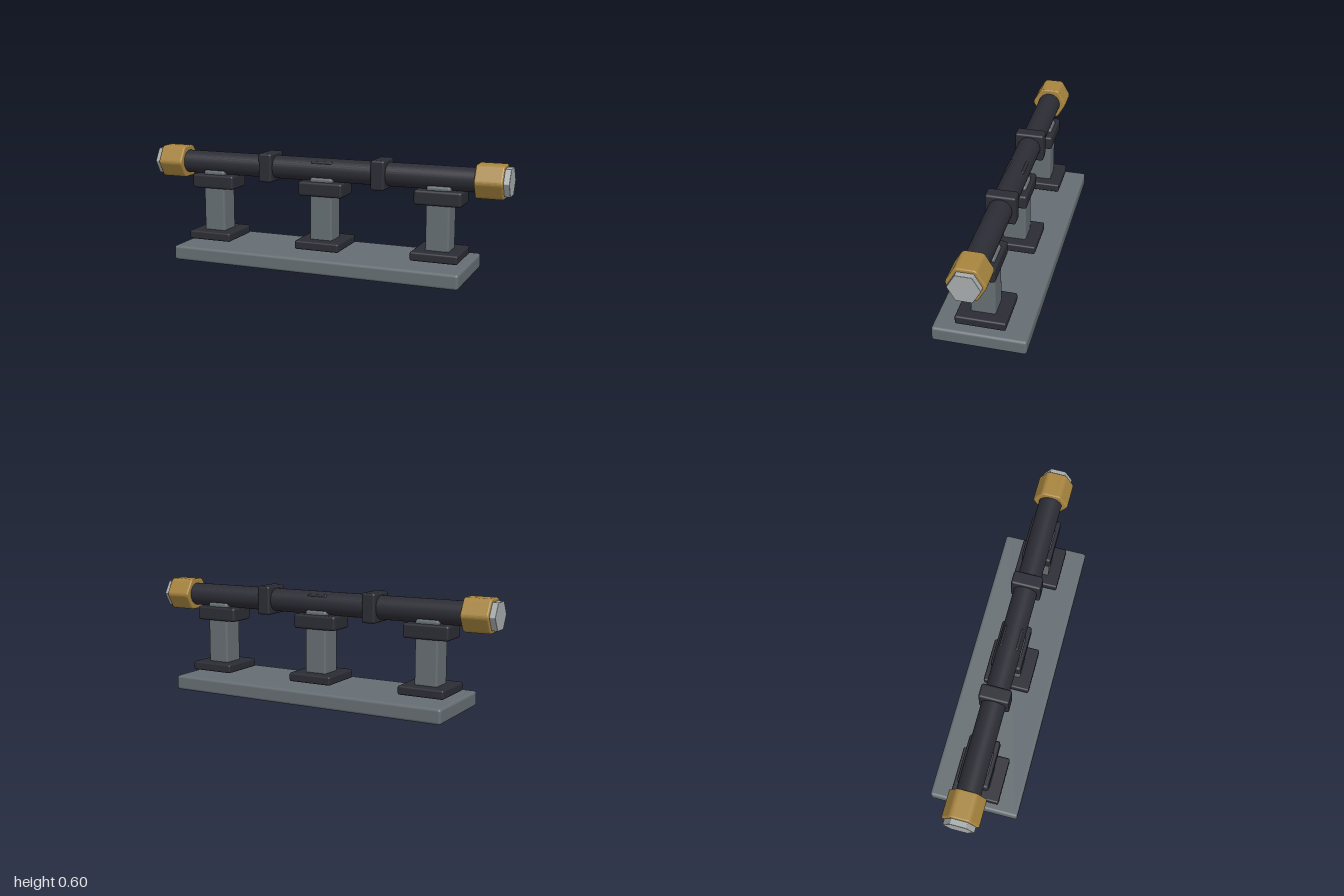
import * as THREE from 'three';
import { RoundedBoxGeometry } from 'three/addons/geometries/RoundedBoxGeometry.js';

const mat = (name, color) => {
  const m = new THREE.MeshStandardMaterial({ color });
  m.name = name;
  return m;
};

// Hexagon with softened corners, flats facing up and down
function hexShape(radius, round) {
  const s = new THREE.Shape();
  const pts = Array.from({ length: 6 }, (_, i) =>
    new THREE.Vector2(Math.cos(i * Math.PI / 3), Math.sin(i * Math.PI / 3)).multiplyScalar(radius));
  const t = round / radius;
  pts.forEach((p, i) => {
    const a = p.clone().lerp(pts[(i + 5) % 6], t);
    const b = p.clone().lerp(pts[(i + 1) % 6], t);
    if (i === 0) s.moveTo(a.x, a.y); else s.lineTo(a.x, a.y);
    s.quadraticCurveTo(p.x, p.y, b.x, b.y);
  });
  s.closePath();
  return s;
}

// Bevelled hexagonal prism lying along x, from x = x0 to x = x1
function hexPrism(radius, round, x0, x1, bevel) {
  const g = new THREE.ExtrudeGeometry(hexShape(radius - bevel * 1.1, round), {
    depth: x1 - x0 - 2 * bevel, curveSegments: 4,
    bevelEnabled: true, bevelThickness: bevel, bevelSize: bevel, bevelSegments: 3,
  });
  g.translate(0, 0, x0 + bevel);
  g.rotateY(Math.PI / 2);
  return g;
}

export function createModel() {
  const model = new THREE.Group();
  model.name = 'pipeOnStands';
  const grey = mat('slateGrey', 0x666e73);
  const dark = mat('darkIron', 0x2c2c35);
  const brass = mat('brass', 0xa8853f);
  const steel = mat('paleSteel', 0xa8acad);

  const add = (parent, name, geometry, material, x = 0, y = 0, z = 0) => {
    const m = new THREE.Mesh(geometry, material);
    m.name = name;
    m.position.set(x, y, z);
    parent.add(m);
    return m;
  };
  // Rounded box given by its lower and upper height
  const block = (parent, name, w, y0, y1, d, r, material, x = 0) =>
    add(parent, name, new RoundedBoxGeometry(w, y1 - y0, d, 3, r), material, x, (y0 + y1) / 2);

  const axisY = 0.515;
  block(model, 'basePlate', 1.6, 0, 0.08, 0.48, 0.015, grey);

  // Three stands: foot, post poking through, and saddle
  for (const x of [-0.64, 0, 0.64]) {
    const stand = new THREE.Group();
    stand.name = 'stand';
    stand.position.x = x;
    block(stand, 'foot', 0.25, 0.098, 0.145, 0.256, 0.01, dark);
    block(stand, 'post', 0.126, 0.11, 0.478, 0.126, 0.012, grey);
    block(stand, 'saddle', 0.25, 0.38, 0.457, 0.16, 0.013, dark);
    model.add(stand);
  }

  // Pipe with a central block whose edges just break the surface
  const pipe = new THREE.CylinderGeometry(0.0625, 0.0625, 1.7, 40);
  pipe.rotateZ(Math.PI / 2);
  add(model, 'pipe', pipe, dark, 0, axisY);
  block(model, 'centreBlock', 0.12, axisY - 0.05, axisY + 0.05, 0.1, 0.008, dark);

  // Square collars around the pipe
  for (const x of [-0.32, 0.32]) {
    block(model, 'collar', 0.076, 0.437, 0.593, 0.158, 0.012, dark, x);
  }

  // Brass nuts and steel end caps
  for (const side of [1, -1]) {
    const end = new THREE.Group();
    end.name = side > 0 ? 'leftEnd' : 'rightEnd';
    end.position.y = axisY;
    if (side < 0) end.rotation.y = Math.PI;
    add(end, 'nut', hexPrism(0.099, 0.012, 0.826, 0.97, 0.008), brass);
    add(end, 'endCap', hexPrism(0.08, 0.002, 0.9, 1, 0.002), steel);
    model.add(end);
  }
  return model;
}
